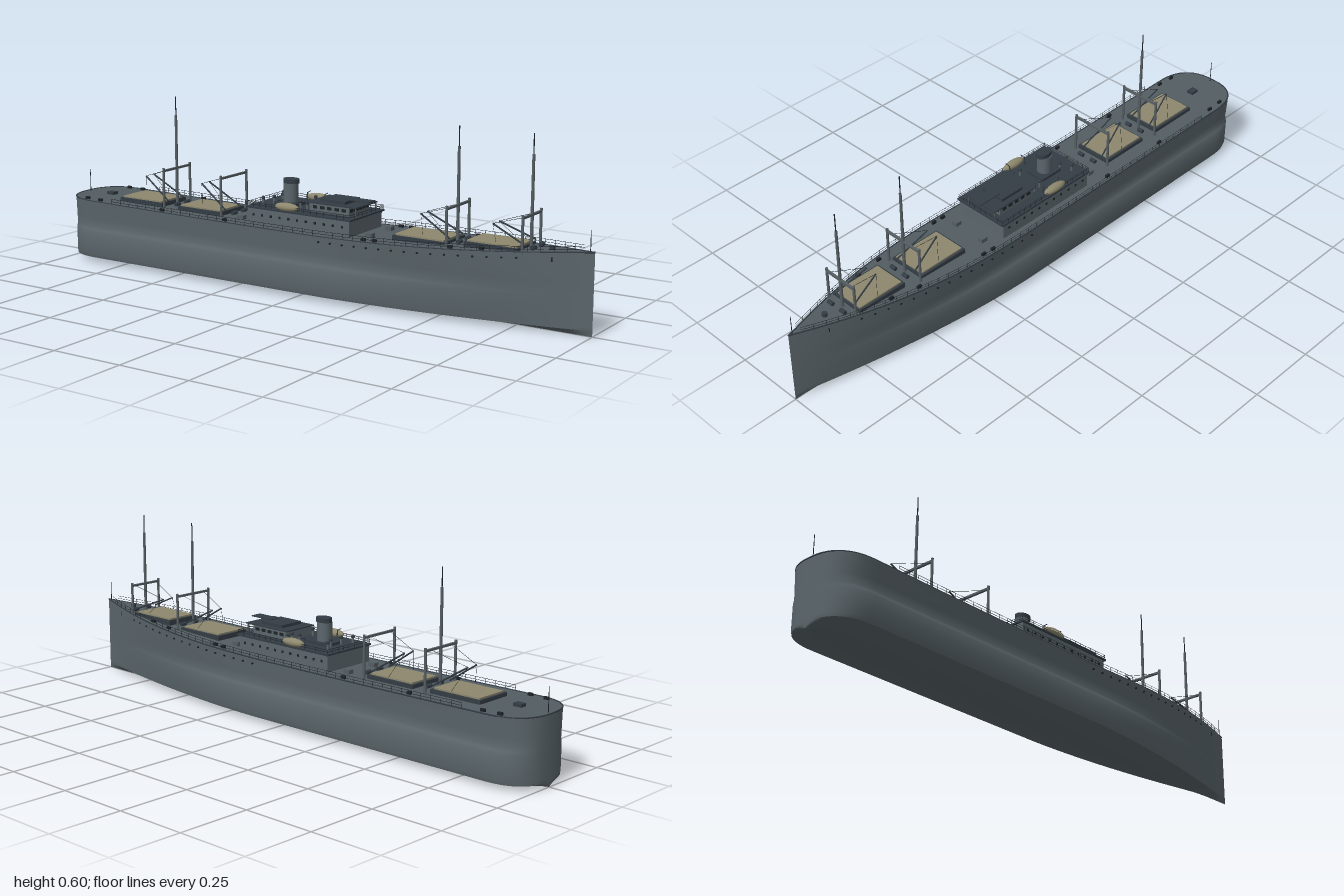
import * as THREE from 'three';
import { mergeGeometries, toCreasedNormals } from 'three/addons/utils/BufferGeometryUtils.js';

const mat = (name, color) => Object.assign(new THREE.MeshStandardMaterial({ color }), { name });
const V = (x, y, z) => new THREE.Vector3(x, y, z);
const lerp = THREE.MathUtils.lerp;

// Hull lines: deck half-beam, lower half-beam and sheer height along the length
const stern = x => (x < -0.85 ? Math.pow(Math.max(0, 1 - Math.pow((-0.85 - x) / 0.15, 2.6)), 1 / 2.6) : 1);
const taper = (x, start, p) => (x > start ? 1 - Math.pow((x - start) / (1 - start), p) : 1);
const beam = x => 0.135 * stern(x) * taper(x, 0.22, 2.15);
const lowBeam = x => 0.135 * stern(x) * taper(x, 0.08, 1.75);
const sheer = x => 0.219 + (x > 0.05 ? 0.043 * Math.pow((x - 0.05) / 0.95, 1.6) : 0) + (x < -0.1 ? 0.006 * Math.pow((-0.1 - x) / 0.9, 2) : 0);

export function createModel() {
  const ship = new THREE.Group();
  ship.name = 'cargoShip';
  const M = {
    hull: mat('hullGrey', 0x5b666b), deck: mat('deckGrey', 0x535d62), dark: mat('darkSlate', 0x343d45),
    tan: mat('canvasTan', 0x8d876d), spar: mat('sparGrey', 0x565e62), black: mat('black', 0x1e2327),
  };
  const add = (name, geo, m, parent = ship) => {
    const mesh = new THREE.Mesh(geo, m);
    mesh.name = name;
    parent.add(mesh);
    return mesh;
  };
  const box = (x0, x1, y0, y1, z0, z1) =>
    new THREE.BoxGeometry(x1 - x0, y1 - y0, z1 - z0).translate((x0 + x1) / 2, (y0 + y1) / 2, (z0 + z1) / 2);
  const cyl = (x, y0, y1, z, r, rTop = r, n = 12) =>
    new THREE.CylinderGeometry(rTop, r, y1 - y0, n).translate(x, (y0 + y1) / 2, z);
  const rod = (a, b, r, n = 6) => {
    const d = b.clone().sub(a), g = new THREE.CylinderGeometry(r, r, d.length(), n, 1);
    g.applyQuaternion(new THREE.Quaternion().setFromUnitVectors(V(0, 1, 0), d.normalize()));
    return g.translate((a.x + b.x) / 2, (a.y + b.y) / 2, (a.z + b.z) / 2);
  };

  // Stations: closely spaced round the stern, even along the rest
  const xs = [];
  for (let i = 0; i < 14; i++) xs.push(-0.85 - 0.15 * Math.cos((i / 14) * Math.PI / 2));
  for (let i = 0; i <= 48; i++) xs.push(-0.85 + 1.85 * i / 48);

  // Half section from gunwale to keel, with a narrowed waist above the side bulge
  const section = x => {
    const b = beam(x), l = lowBeam(x), t = sheer(x), w = 0.07 * l / 0.135;
    const side = (y, k) => [lerp(l, b, Math.min(1, Math.max(0, (y - 0.03) / 0.19))) * k, y];
    return [[b, t], side(0.19, 1 - w * 0.35), side(0.16, 1 - w * 0.65), side(0.13, 1 - w),
      side(0.12, 1 - w * 0.5), side(0.11, 1), side(0.07, 1), side(0.03, 1), [l * 0.97, 0.018], [l * 0.5, 0.009], [0, 0]];
  };
  const pos = [], idx = [], rows = 21;
  xs.forEach((x, i) => {
    const s = section(x), ring = [...s, ...s.slice(0, -1).reverse().map(([z, y]) => [-z, y])];
    ring.forEach(([z, y]) => pos.push(x, y, z));
    if (i < xs.length - 1) for (let j = 0; j < rows - 1; j++) {
      const a = i * rows + j, b = a + rows;
      idx.push(a, a + 1, b, b, a + 1, b + 1);
    }
  });
  const loft = (p, ix) => {
    const g = new THREE.BufferGeometry();
    g.setAttribute('position', new THREE.Float32BufferAttribute(p, 3));
    g.setIndex(ix);
    return g;
  };
  add('hull', toCreasedNormals(loft(pos, idx), 0.7), M.hull);

  // Deck follows the gunwale
  const dp = [], di = [];
  xs.forEach((x, i) => {
    dp.push(x, sheer(x), beam(x), x, sheer(x), -beam(x));
    const a = i * 2;
    if (i < xs.length - 1) di.push(a, a + 2, a + 1, a + 1, a + 2, a + 3);
  });
  const deck = loft(dp, di);
  deck.computeVertexNormals();
  add('deck', deck, M.deck);

  // Railings, gunwale strip and portholes on both sides
  const rails = [], strip = [], ports = [];
  for (const s of [1, -1]) {
    const edge = (x, h) => V(x, sheer(x) + h, s * Math.max(0, beam(x) - 0.002));
    for (let i = 0; i < xs.length - 1; i++) {
      strip.push(rod(edge(xs[i], 0), edge(xs[i + 1], 0), 0.0025, 5));
      if (xs[i] < -0.8 || xs[i + 1] > 0.99) continue;
      for (const h of [0.009, 0.018]) rails.push(rod(edge(xs[i], h), edge(xs[i + 1], h), 0.0007, 4));
      rails.push(rod(edge(xs[i], 0), edge(xs[i], 0.018), 0.0009, 4));
    }
    for (let x = 0.1; x < 0.8; x += 0.045) {
      const y = sheer(x) - 0.018;
      const z = lerp(beam(x), lowBeam(x), 0.09);
      ports.push(new THREE.CylinderGeometry(0.0035, 0.0035, 0.005, 10).rotateX(Math.PI / 2).translate(x, y, s * z));
    }
    ports.push(box(0.865, 0.88, 0.224, 0.24, s * 0.034 - 0.007, s * 0.034 + 0.007));
  }
  add('railings', mergeGeometries(rails), M.black);
  add('gunwaleStrip', mergeGeometries(strip), M.dark);
  add('portholesAndAnchors', mergeGeometries(ports), M.black);

  // Cargo hatches: dark coaming, tan cover
  for (const [x0, x1] of [[-0.79, -0.6], [-0.53, -0.345], [0.335, 0.525], [0.59, 0.775]]) {
    const y = sheer((x0 + x1) / 2), z = x0 > 0.55 ? 0.063 : 0.067;
    add('hatchCoaming', box(x0, x1, y - 0.01, y + 0.013, -z, z), M.dark);
    add('hatchCover', box(x0 + 0.008, x1 - 0.008, y + 0.013, y + 0.018, -z + 0.008, z - 0.008), M.tan);
  }

  // Cargo gear: king posts, crossbar, booms with topping lifts, optional tall mast
  for (const [x, tall] of [[-0.585, 1], [-0.337, 0], [0.535, 1], [0.79, 1]]) {
    const gear = new THREE.Group(), y = sheer(x), z = x > 0.7 ? 0.062 : 0.073;
    gear.name = 'cargoGear';
    ship.add(gear);
    add('crossbar', box(x - 0.004, x + 0.004, 0.348, 0.355, -z, z), M.spar, gear);
    for (const s of [1, -1]) {
      add('kingPost', cyl(x, y - 0.01, 0.361, s * z, 0.0045), M.spar, gear);
      const tip = V(x - 0.122, 0.313, s * 0.021);
      add('boom', rod(V(x - 0.005, y + 0.018, s * 0.042), tip, 0.0028), M.dark, gear);
      add('toppingLift', rod(tip, V(x, 0.352, s * 0.05), 0.0007, 4), M.black, gear);
      add('guy', rod(tip, V(x - 0.09, y + 0.018, s * 0.06), 0.0006, 4), M.black, gear);
      add('winch', new THREE.CylinderGeometry(0.007, 0.007, 0.022, 10).rotateX(Math.PI / 2)
        .translate(x + 0.022, y + 0.009, s * 0.028), M.dark, gear);
    }
    if (tall) {
      add('mast', cyl(x, y - 0.01, 0.538, 0, 0.0055, 0.0045), M.spar, gear);
      add('topmast', cyl(x, 0.538, 0.602, 0, 0.0018), M.black, gear);
    }
  }

  // Midship house with overhanging roof
  add('house', box(-0.205, 0.195, 0.21, 0.274, -0.1, 0.1), M.hull);
  add('houseRoof', box(-0.21, 0.203, 0.274, 0.28, -0.105, 0.105), M.dark);
  const rr = [];
  for (const h of [0.287, 0.294]) {
    const c = [V(-0.207, h, -0.102), V(0.2, h, -0.102), V(0.2, h, 0.102), V(-0.207, h, 0.102)];
    c.forEach((p, i) => rr.push(rod(p, c[(i + 1) % 4], 0.0008, 4)));
  }
  for (let i = 0; i <= 16; i++) for (const s of [1, -1]) {
    rr.push(cyl(-0.207 + 0.407 * i / 16, 0.28, 0.294, s * 0.102, 0.0008, 0.0008, 4));
    if (i < 9) rr.push(cyl(s > 0 ? 0.2 : -0.207, 0.28, 0.294, -0.102 + 0.0255 * i, 0.0008, 0.0008, 4));
  }
  add('roofRailing', mergeGeometries(rr), M.black);

  // Bridge, wheelhouse and windows
  add('bridge', box(0.015, 0.17, 0.28, 0.309, -0.06, 0.06), M.hull);
  add('bridgeRoof', box(0.01, 0.2, 0.309, 0.313, -0.066, 0.066), M.dark);
  add('wheelhouse', box(0.05, 0.145, 0.313, 0.323, -0.045, 0.045), M.dark);
  add('bridgeCanopy', box(0.13, 0.22, 0.323, 0.326, -0.02, 0.02), M.dark);
  const panes = [];
  for (let i = 0; i < 6; i++) panes.push(box(0.169, 0.172, 0.292, 0.303, -0.055 + i * 0.019, -0.041 + i * 0.019));
  for (const s of [1, -1]) {
    for (let i = 0; i < 5; i++) panes.push(box(0.03 + i * 0.028, 0.046 + i * 0.028, 0.292, 0.302, s * 0.06 - 0.0015, s * 0.06 + 0.0015));
    for (let i = 0; i < 11; i++) panes.push(box(-0.185 + i * 0.035, -0.177 + i * 0.035, 0.249, 0.257, s * 0.1 - 0.0015, s * 0.1 + 0.0015));
    add('bridgePost', cyl(0.195, 0.28, 0.31, s * 0.06, 0.002), M.spar);
  }
  add('windows', mergeGeometries(panes), M.black);

  // Funnel with raked cap
  add('funnelBase', box(-0.145, -0.055, 0.28, 0.29, -0.035, 0.035), M.dark);
  add('funnel', cyl(-0.1, 0.285, 0.352, 0, 0.025, 0.025, 24), M.hull);
  add('funnelCap', cyl(-0.097, 0.352, 0.367, 0, 0.029, 0.029, 24).scale(1, 1, 0.75), M.dark);

  // Lifeboats, davits, ventilators and deck fittings
  for (const s of [1, -1]) {
    const dome = new THREE.SphereGeometry(1, 20, 8, 0, Math.PI * 2, 0, Math.PI / 2).scale(0.047, 0.015, 0.016);
    add('lifeboatCover', dome.translate(-0.05, 0.291, s * 0.095), M.tan);
    const keel = new THREE.SphereGeometry(1, 20, 8, 0, Math.PI * 2, Math.PI / 2, Math.PI / 2).scale(0.047, 0.014, 0.015);
    add('lifeboatHull', keel.translate(-0.05, 0.291, s * 0.095), M.tan);
    for (const x of [-0.085, -0.015]) {
      add('davit', rod(V(x, 0.278, s * 0.075), V(x, 0.308, s * 0.079), 0.002), M.dark);
      add('davitArm', rod(V(x, 0.308, s * 0.079), V(x, 0.31, s * 0.096), 0.0015), M.dark);
    }
    for (const [x, z] of [[-0.17, 0.06], [-0.03, 0.045], [-0.15, 0.025], [0.0, 0.05]]) {
      add('ventPipe', cyl(x, 0.28, 0.302, s * z, 0.004), M.hull);
      add('ventCowl', new THREE.SphereGeometry(0.0065, 10, 8).translate(x, 0.304, s * z), M.dark);
    }
    for (const x of [-0.9, -0.84, -0.56, -0.29, 0.26, 0.3, 0.56, 0.66])
      add('bollard', box(x - 0.008, x + 0.008, sheer(x), sheer(x) + 0.009, s * (beam(x) - 0.018) - 0.004, s * (beam(x) - 0.018) + 0.004), M.black);
    for (const x of [-0.26, 0.25])
      add('deckLocker', box(x - 0.012, x + 0.012, sheer(x), sheer(x) + 0.014, s * 0.06 - 0.01, s * 0.06 + 0.01), M.deck);
  }
  add('capstan', cyl(0.86, sheer(0.86), sheer(0.86) + 0.012, 0, 0.009), M.dark);
  add('sternWinch', box(-0.9, -0.87, sheer(-0.9), sheer(-0.9) + 0.01, -0.012, 0.012), M.dark);

  // Flagstaffs at stern and bow
  add('sternFlagstaff', cyl(-0.988, 0.22, 0.305, 0, 0.0015, 0.001, 6), M.black);
  add('bowFlagstaff', cyl(0.985, 0.255, 0.328, 0, 0.0015, 0.001, 6), M.black);
  return ship;
}
